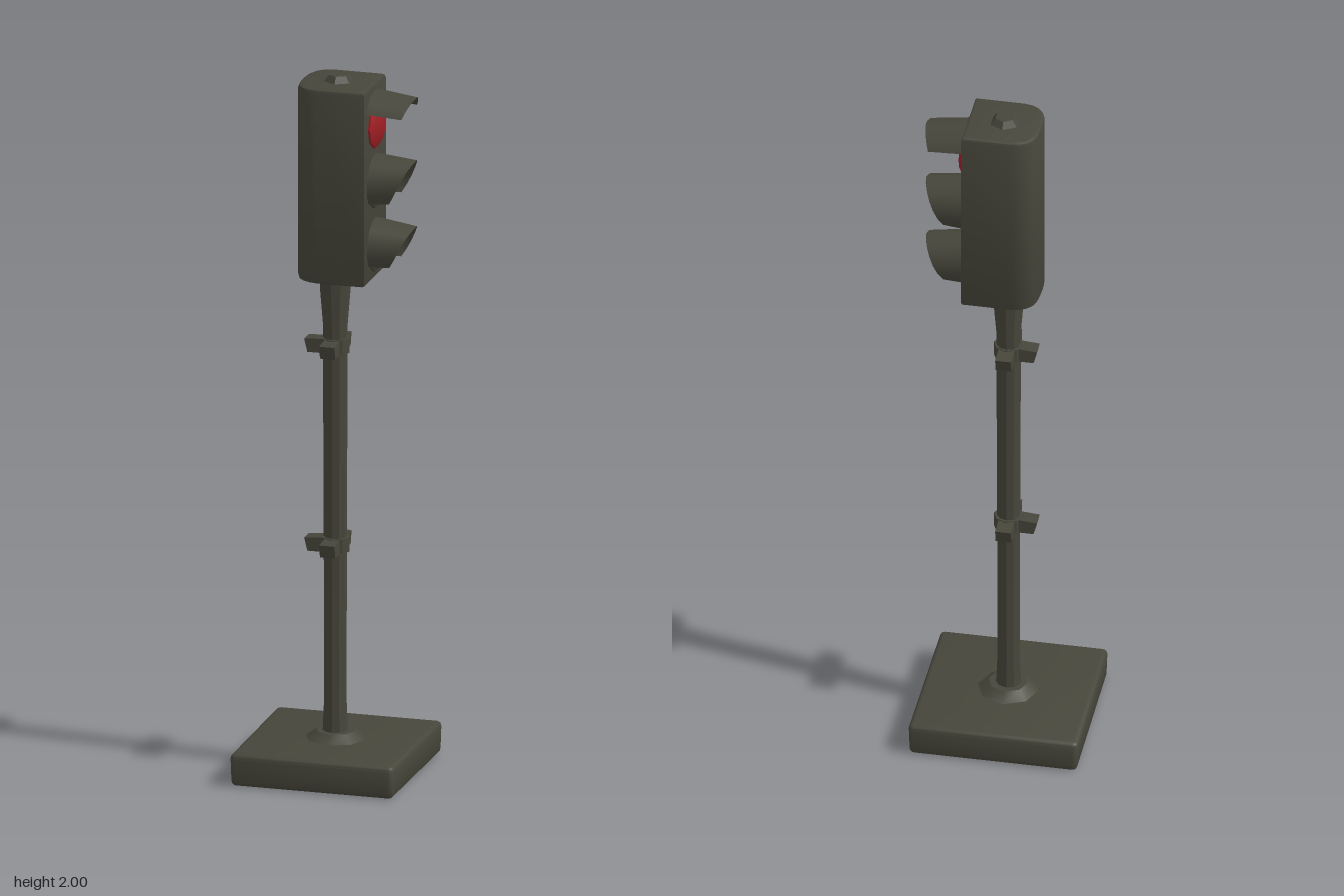
import * as THREE from 'three';
import { toCreasedNormals } from 'three/addons/utils/BufferGeometryUtils.js';
import { RoundedBoxGeometry } from 'three/addons/geometries/RoundedBoxGeometry.js';

export function createModel() {
  const model = new THREE.Group();
  const metal = new THREE.MeshStandardMaterial({ color: 0x46463b, side: THREE.DoubleSide });
  metal.name = 'dark olive metal';
  const red = new THREE.MeshStandardMaterial({ color: 0xa01f24 });
  red.name = 'red lens';

  const add = (name, geometry, x = 0, y = 0, z = 0, material = metal, parent = model) => {
    const mesh = new THREE.Mesh(toCreasedNormals(geometry, 0.6), material);
    mesh.name = name;
    mesh.position.set(x, y, z);
    parent.add(mesh);
    return mesh;
  };

  // Slightly uneven slab and the collar where the pole enters it
  const slab = new RoundedBoxGeometry(0.47, 0.092, 0.48, 2, 0.015);
  const p = slab.attributes.position;
  for (let i = 0; i < p.count; i++) {
    const x = p.getX(i), y = p.getY(i), z = p.getZ(i);
    if (x < 0 && z < 0) p.setX(i, x - 0.006);
    if (y < 0) p.setX(i, p.getX(i) * 0.99);
  }
  add('base', slab, -0.002, 0.046, 0);
  add('baseCollar', new THREE.CylinderGeometry(0.055, 0.085, 0.022, 8), -0.003, 0.103, 0);

  // Pole with a flared top under the housing
  const pole = [[0.036, 0.09], [0.031, 0.2], [0.032, 0.7], [0.034, 1.2], [0.034, 1.28], [0.042, 1.38], [0.042, 1.44]];
  add('pole', new THREE.LatheGeometry(pole.map(([r, y]) => new THREE.Vector2(r, y)), 10), -0.004);

  // Clamps: a band with tapered lugs on both sides and at the back
  for (const y of [0.65, 1.222]) {
    const clamp = new THREE.Group();
    clamp.name = 'clamp';
    clamp.position.set(-0.004, y, 0);
    model.add(clamp);
    add('clampBand', new THREE.CylinderGeometry(0.041, 0.041, 0.042, 8), 0, 0, 0, metal, clamp);
    const outline = new THREE.Shape([
      [0.02, -0.022], [0.074, -0.022], [0.083, 0.015], [0.02, 0.02],
    ].map(([a, b]) => new THREE.Vector2(a, b)));
    for (const turn of [Math.PI / 2, Math.PI, -Math.PI / 2]) {
      const lug = new THREE.ExtrudeGeometry(outline, { depth: 0.044, bevelEnabled: false });
      lug.translate(0, 0, -0.022);
      add('clampLug', lug, 0, 0, 0, metal, clamp).rotation.y = turn;
    }
  }

  // Signal housing: flat face at +x, rounded back corners
  const plan = new THREE.Shape();
  plan.moveTo(0.1, -0.094);
  plan.lineTo(0.1, 0.094);
  plan.lineTo(-0.03, 0.094);
  plan.quadraticCurveTo(-0.076, 0.09, -0.085, 0.05);
  plan.quadraticCurveTo(-0.093, 0, -0.085, -0.05);
  plan.quadraticCurveTo(-0.076, -0.09, -0.03, -0.094);
  const body = new THREE.ExtrudeGeometry(plan, {
    depth: 0.536, curveSegments: 4, bevelThickness: 0.012, bevelSize: 0.01, bevelSegments: 2,
  });
  body.rotateX(-Math.PI / 2);
  add('housing', body, 0, 1.434, 0);
  add('topCap', new THREE.CylinderGeometry(0.028, 0.045, 0.022, 6), 0.006, 1.989, 0);

  // Hood: arc of sheet around a lens, narrowing outwards and shorter at its lower ends
  const hood = (half, rootR, tipR, topReach, endReach, drop) => {
    const n = 12, pos = [], idx = [];
    for (let i = 0; i <= n; i++) {
      const t = (i / n) * 2 - 1, a = t * half;
      const reach = topReach + (endReach - topReach) * Math.abs(t) ** 1.5;
      const r = rootR + (tipR - rootR) * reach / topReach;
      pos.push(0, Math.cos(a) * rootR, Math.sin(a) * rootR);
      pos.push(reach, Math.cos(a) * r - drop * reach / topReach, Math.sin(a) * r);
      if (i < n) idx.push(2 * i, 2 * i + 2, 2 * i + 1, 2 * i + 1, 2 * i + 2, 2 * i + 3);
    }
    const g = new THREE.BufferGeometry();
    g.setAttribute('position', new THREE.Float32BufferAttribute(pos, 3));
    g.setIndex(idx);
    g.computeVertexNormals();
    return g;
  };

  // Three lamps, the upper one lit red under a short hood
  const lamps = [
    { name: 'upper', y: 1.868, lens: red, r: 0.066, hood: [1.05, 0.096, 0.086, 0.12, 0.1, 0.006] },
    { name: 'middle', y: 1.7, lens: metal, r: 0.07, hood: [2.2, 0.08, 0.068, 0.12, 0.06, 0] },
    { name: 'lower', y: 1.518, lens: metal, r: 0.07, hood: [2.2, 0.078, 0.066, 0.12, 0.06, 0.006] },
  ];
  for (const lamp of lamps) {
    const profile = [[lamp.r, -0.005], [lamp.r, 0.008], [lamp.r * 0.7, 0.02], [0, 0.026]];
    const lens = new THREE.LatheGeometry(profile.map(([r, y]) => new THREE.Vector2(r, y)), 10);
    lens.rotateZ(-Math.PI / 2);
    add(lamp.name + 'Lens', lens, 0.108, lamp.y - 0.003, 0.002, lamp.lens);
    add(lamp.name + 'Hood', hood(...lamp.hood), 0.108, lamp.y, 0);
  }
  return model;
}
